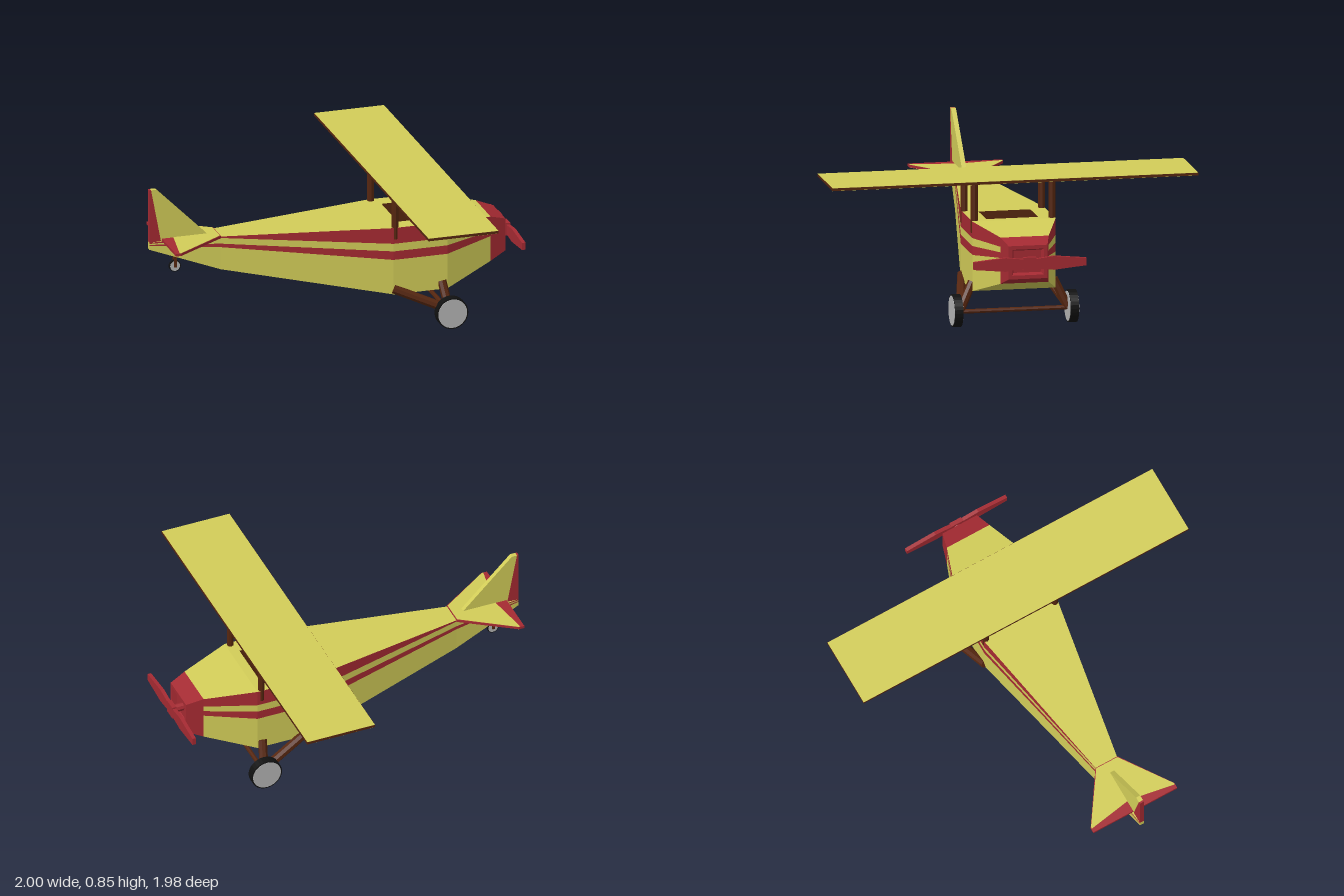
import * as THREE from 'three';

const paint = (color) => new THREE.MeshStandardMaterial({ color, flatShading: true, side: THREE.DoubleSide });

export function createModel() {
  const model = new THREE.Group();
  const yellow = paint(0xd2cd58), red = paint(0xa52a32), brown = paint(0x56260f);
  const black = paint(0x111111), grey = paint(0xb4b4b4);

  const add = (name, geometry, material, parent = model) => {
    const mesh = new THREE.Mesh(geometry, material);
    mesh.name = name;
    parent.add(mesh);
    return mesh;
  };
  const box = (name, w, h, d, x, y, z, material) =>
    add(name, new THREE.BoxGeometry(w, h, d).translate(x, y, z), material);

  // Flat panels gathered from four-cornered faces
  const panels = (name, quads, material) => {
    const points = quads.flatMap(([a, b, c, d]) => [a, b, c, a, c, d]).flat();
    const geometry = new THREE.BufferGeometry();
    geometry.setAttribute('position', new THREE.Float32BufferAttribute(points, 3));
    geometry.computeVertexNormals();
    return add(name, geometry, material);
  };
  const mirrorZ = (quads) => quads.concat(quads.map((q) => q.map(([x, y, z]) => [x, y, -z]).reverse()));

  // Round or square bar between two points
  const bar = (name, from, to, radius, sides, material) => {
    const a = new THREE.Vector3(...from), b = new THREE.Vector3(...to);
    const mesh = add(name, new THREE.CylinderGeometry(radius, radius, a.distanceTo(b), sides), material);
    mesh.position.copy(a).lerp(b, 0.5);
    mesh.quaternion.setFromUnitVectors(new THREE.Vector3(0, 1, 0), b.sub(a).normalize());
    return mesh;
  };

  // Plate cut from an outline, centred on its thickness
  const plate = (points, depth) => {
    const shape = new THREE.Shape(points.map(([x, y]) => new THREE.Vector2(x, y)));
    return new THREE.ExtrudeGeometry(shape, { depth, bevelEnabled: false }).translate(0, 0, -depth / 2);
  };

  // Fuselage stations: x, half width, then heights of the stripe edges from belly to deck
  const stations = [
    [-1, 0.012, 0.515, 0.537, 0.543, 0.548, 0.555],
    [-0.62, 0.065, 0.38, 0.505, 0.525, 0.557, 0.565],
    [0.29, 0.225, 0.19, 0.385, 0.433, 0.476, 0.565],
    [0.59, 0.225, 0.19, 0.385, 0.433, 0.476, 0.565],
    [0.86, 0.13, 0.28, 0.42, 0.45, 0.48, 0.53],
  ];
  const bands = [[], [], [], []], hull = [];
  const hole = { x0: 0.34, x1: 0.54, z: 0.14, floor: 0.33 };
  const deckY = 0.565;
  for (let i = 0; i < stations.length - 1; i++) {
    const [x0, w0, ...h0] = stations[i], [x1, w1, ...h1] = stations[i + 1];
    for (let k = 0; k < 4; k++)
      bands[k].push([[x0, h0[k], w0], [x1, h1[k], w1], [x1, h1[k + 1], w1], [x0, h0[k + 1], w0]]);
    hull.push([[x0, h0[0], -w0], [x1, h1[0], -w1], [x1, h1[0], w1], [x0, h0[0], w0]]);
    if (i !== 2) hull.push([[x0, h0[4], w0], [x1, h1[4], w1], [x1, h1[4], -w1], [x0, h0[4], -w0]]);
  }
  // Deck around the cockpit opening
  const deck = (x0, x1, z0, z1) => [[x0, deckY, z1], [x1, deckY, z1], [x1, deckY, z0], [x0, deckY, z0]];
  hull.push(deck(0.29, hole.x0, -0.225, 0.225), deck(hole.x1, 0.59, -0.225, 0.225),
    deck(hole.x0, hole.x1, hole.z, 0.225), deck(hole.x0, hole.x1, -0.225, -hole.z));
  // Close the narrow tail end
  hull.push([[-1, 0.515, -0.012], [-1, 0.515, 0.012], [-1, 0.555, 0.012], [-1, 0.555, -0.012]]);
  panels('fuselage', hull.concat(mirrorZ(bands[0]), mirrorZ(bands[2])), yellow);
  panels('fuselageStripes', mirrorZ(bands[1]).concat(mirrorZ(bands[3])), red);

  // Cockpit well
  const { x0, x1, z, floor } = hole;
  panels('cockpit', [
    [[x0, floor, z], [x1, floor, z], [x1, floor, -z], [x0, floor, -z]],
    [[x0, floor, -z], [x1, floor, -z], [x1, deckY, -z], [x0, deckY, -z]],
    [[x1, floor, z], [x0, floor, z], [x0, deckY, z], [x1, deckY, z]],
    [[x0, floor, z], [x0, floor, -z], [x0, deckY, -z], [x0, deckY, z]],
    [[x1, floor, -z], [x1, floor, z], [x1, deckY, z], [x1, deckY, -z]],
  ], brown);

  // Nose cowl: tapering rings, a flat rim and a shallow recess
  const ring = (x, w, lo, hi) => [[x, lo, w], [x, lo, -w], [x, hi, -w], [x, hi, w]];
  const rings = [ring(0.86, 0.13, 0.28, 0.53), ring(0.95, 0.105, 0.32, 0.5),
    ring(0.95, 0.085, 0.34, 0.48), ring(0.925, 0.075, 0.35, 0.47)];
  const nose = [rings[3]];
  for (let r = 0; r < 3; r++)
    for (let k = 0; k < 4; k++) {
      const n = (k + 1) % 4;
      nose.push([rings[r][k], rings[r][n], rings[r + 1][n], rings[r + 1][k]]);
    }
  panels('noseCowl', nose, red);

  // Propeller
  bar('propellerShaft', [0.92, 0.41, 0], [0.985, 0.41, 0], 0.022, 8, red);
  const blade = [[0.04, -0.026], [0.13, -0.037], [0.305, -0.02], [0.305, 0.02], [0.13, 0.037], [0.04, 0.026]];
  const propeller = plate([...blade, ...blade.map(([a, b]) => [-a, -b])], 0.02);
  add('propeller', propeller.rotateY(Math.PI / 2).translate(0.988, 0.41, 0), red);
  box('propellerHub', 0.024, 0.07, 0.07, 0.988, 0.41, 0, red);

  // Wing: brown core with yellow skins
  box('wing', 0.39, 0.014, 1.98, 0.433, 0.778, 0, brown);
  for (const y of [0.7705, 0.7855]) box('wingSkin', 0.388, 0.001, 1.978, 0.433, y, 0, yellow);

  // Tail fin and rudder
  add('tailFin', plate([[-0.67, 0.56], [-0.96, 0.85], [-0.99, 0.85], [-0.935, 0.56]], 0.025), yellow);
  add('rudder', plate([[-0.935, 0.555], [-0.99, 0.85], [-1, 0.85], [-1, 0.555]], 0.025), red);

  // Tailplane with red edges and elevators
  const half = [[-0.62, 0.067], [-0.9, 0.255], [-0.93, 0.255]];
  const flip = (pts) => pts.map(([a, b]) => [a, -b]).reverse();
  const flat = (points, depth) => plate(points, depth).rotateX(Math.PI / 2).translate(0, 0.563, 0);
  add('tailplane', flat([...half, ...flip(half)], 0.014), red);
  const skin = [[-0.624, 0.064], [-0.898, 0.252], [-0.908, 0.252], [-0.866, 0.01]];
  add('tailplaneSkin', flat(skin, 0.017), yellow);
  add('tailplaneSkin', flat(flip(skin), 0.017), yellow);
  add('tailplaneSkin', flat([[-0.624, 0.064], [-0.866, 0.01], [-0.866, -0.01], [-0.624, -0.064]], 0.017), yellow);

  // Wheel with a dark tyre and pale disc
  const wheel = (name, x, y, z, radius, width, rim) => {
    const group = new THREE.Group();
    group.name = name;
    group.position.set(x, y, z);
    group.rotation.x = Math.PI / 2;
    add('tyre', new THREE.CylinderGeometry(radius, radius, width, 28), black, group);
    add('wheelDisc', new THREE.CylinderGeometry(radius * rim, radius * rim, width + 0.004, 28), grey, group);
    model.add(group);
  };

  // Wing struts, landing gear legs and main wheels on each side
  for (const s of [1, -1]) {
    for (const x of [0.302, 0.563]) bar('wingStrut', [x, 0.5, s * 0.21], [x, 0.772, s * 0.21], 0.019, 8, brown);
    bar('rearGearLeg', [0.29, 0.22, s * 0.22], [0.58, 0.095, s * 0.29], 0.025, 8, brown);
    bar('frontGearLeg', [0.56, 0.235, s * 0.22], [0.58, 0.085, s * 0.29], 0.024, 8, brown);
    wheel('mainWheel', 0.583, 0.087, s * 0.313, 0.087, 0.045, 0.92);
  }
  bar('axle', [0.583, 0.08, -0.3], [0.583, 0.08, 0.3], 0.012, 8, brown);

  // Tail wheel in a small fork
  wheel('tailWheel', -0.855, 0.405, 0, 0.032, 0.014, 0.85);
  for (const s of [1, -1]) box('tailFork', 0.014, 0.055, 0.005, -0.855, 0.427, s * 0.013, brown);
  box('tailForkTop', 0.016, 0.025, 0.031, -0.855, 0.458, 0, brown);

  return model;
}
